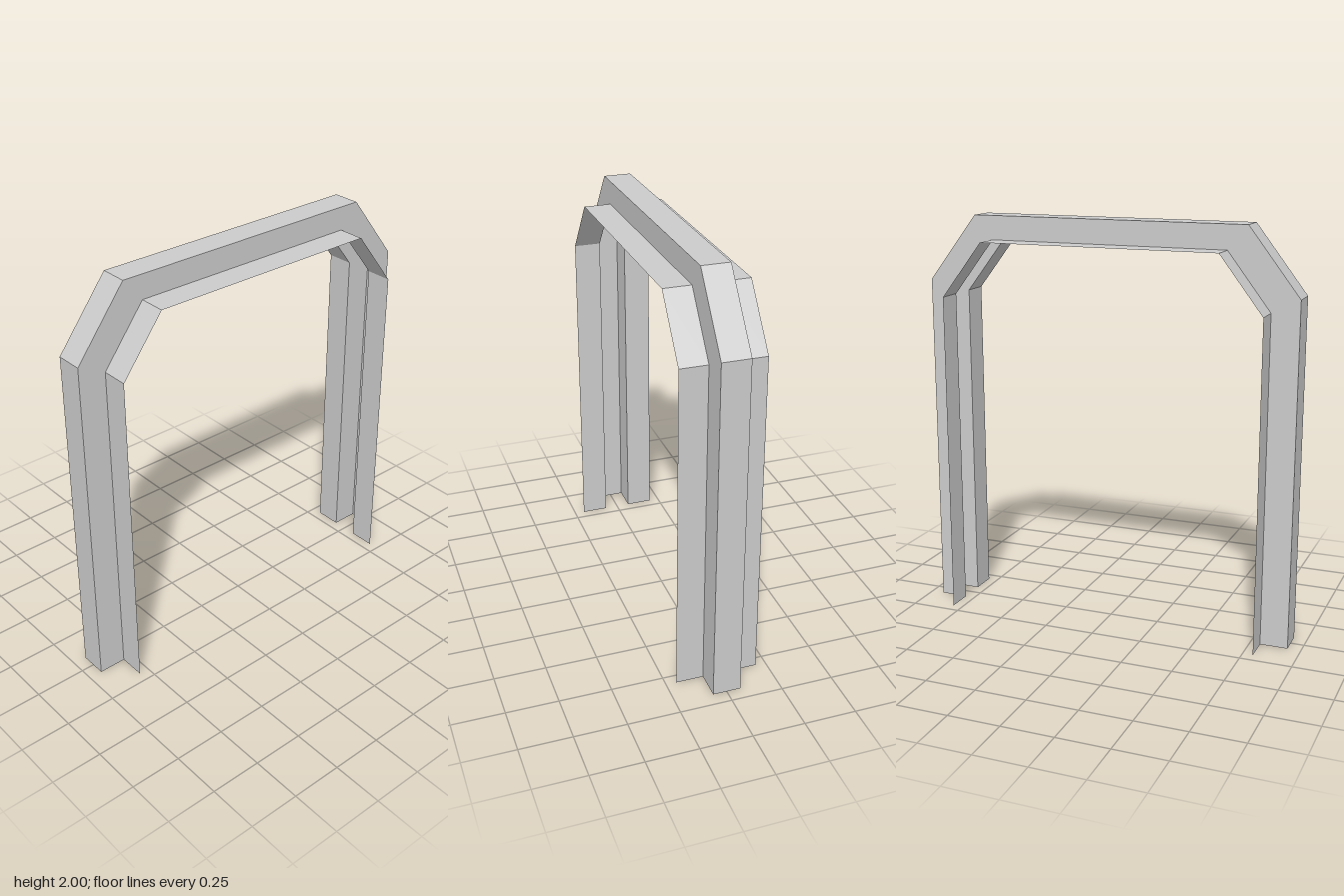
import * as THREE from 'three';

// Half of the arch, from the left foot up to the top corner
const inner = [[0.8, 0], [0.8, 1.61], [0.59, 1.883]];
const outer = [[0.935, 0], [0.935, 1.677], [0.685, 2]];

// Completes a half path with its mirror image
const mirrored = (half) => [...half, ...half.map(([x, y]) => [-x, y]).reverse()];
const innerPath = mirrored(inner);
const outerPath = mirrored(outer);

// Strip of flat panels between two edges running along the arch
function strip(name, pathA, zA, pathB, zB, material) {
  const positions = [];
  for (let i = 0; i < pathA.length - 1; i++) {
    const a = [...pathA[i], zA], b = [...pathA[i + 1], zA];
    const c = [...pathB[i + 1], zB], d = [...pathB[i], zB];
    positions.push(...a, ...b, ...c, ...a, ...c, ...d);
  }
  const geometry = new THREE.BufferGeometry();
  geometry.setAttribute('position', new THREE.Float32BufferAttribute(positions, 3));
  geometry.computeVertexNormals();
  const mesh = new THREE.Mesh(geometry, material);
  mesh.name = name;
  return mesh;
}

export function createModel() {
  const group = new THREE.Group();
  group.name = 'archFrame';
  const material = new THREE.MeshStandardMaterial({
    color: 0xcccccc, flatShading: true, side: THREE.DoubleSide,
  });
  const rib = 0.067, edge = 0.2;

  // Open hat-shaped section, from the back flange to the front flange
  group.add(
    strip('backFlange', innerPath, -edge, innerPath, -rib, material),
    strip('backWeb', innerPath, -rib, outerPath, -rib, material),
    strip('outerCap', outerPath, -rib, outerPath, rib, material),
    strip('frontWeb', outerPath, rib, innerPath, rib, material),
    strip('frontFlange', innerPath, rib, innerPath, edge, material),
  );
  return group;
}
